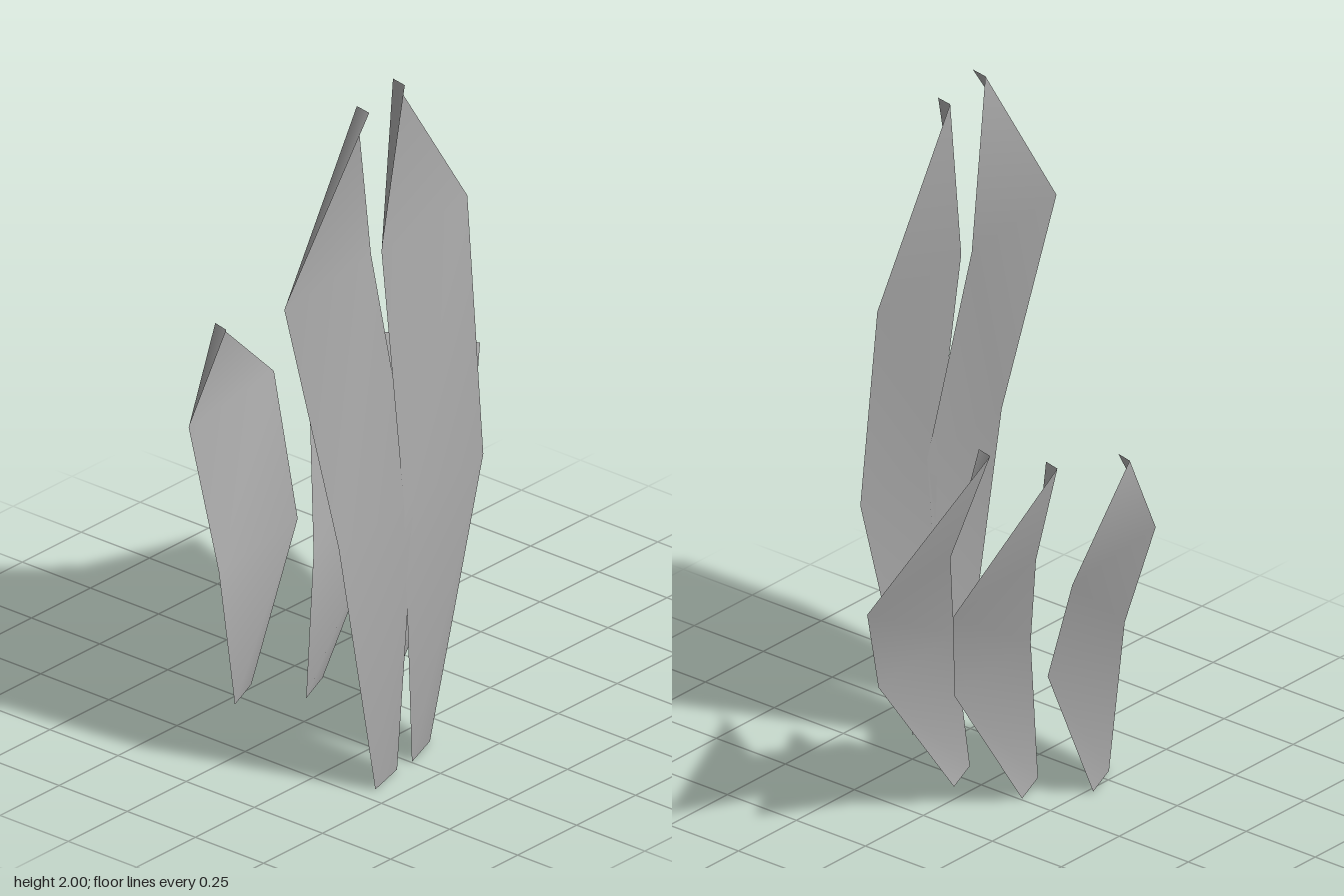
import * as THREE from 'three';

const bladeGrey = new THREE.MeshStandardMaterial({ color: 0xa6a6a6, side: THREE.DoubleSide });
bladeGrey.name = 'bladeGrey';

// A blade is a bent strip: each row is [y, xA, zA, xB, zB], its two edge points at one height
function makeBlade(name, rows) {
  const positions = [];
  const index = [];
  rows.forEach(([y, xa, za, xb, zb], i) => {
    positions.push(xa, y, za, xb, y, zb);
    if (i > 0) {
      const a = 2 * (i - 1);
      index.push(a, a + 1, a + 3, a, a + 3, a + 2);
    }
  });
  const geometry = new THREE.BufferGeometry();
  geometry.setAttribute('position', new THREE.Float32BufferAttribute(positions, 3));
  geometry.setIndex(index);
  geometry.computeVertexNormals();
  const mesh = new THREE.Mesh(geometry, bladeGrey);
  mesh.name = name;
  return mesh;
}

export function createModel() {
  const group = new THREE.Group();
  group.name = 'grassTuft';

  // Two tall blades at the front
  group.add(makeBlade('tallBladeRight', [
    [0, -0.445, 0.43, -0.31, 0.393],
    [0.8, -0.6, 0.43, -0.225, 0.385],
    [1.5, -0.64, 0.265, -0.215, 0.215],
    [2, -0.317, 0.297, -0.307, 0.243],
  ]));
  group.add(makeBlade('tallBladeLeft', [
    [0, -0.247, 0.393, -0.115, 0.345],
    [0.8, -0.28, 0.393, 0.117, 0.34],
    [1.5, -0.185, 0.228, 0.24, 0.175],
    [2, -0.12, 0.257, -0.11, 0.205],
  ]));

  // Three short blades behind, leaning back
  group.add(makeBlade('shortBladeFront', [
    [0, -0.07, 0.1, 0.058, 0.05],
    [0.435, 0, 0.1, 0.39, 0.045],
    [0.805, 0.21, -0.065, 0.635, -0.12],
    [1.07, 0.052, -0.035, 0.065, -0.087],
  ]));
  group.add(makeBlade('shortBladeMiddle', [
    [0, -0.135, -0.092, -0.007, -0.142],
    [0.435, -0.1, -0.095, 0.295, -0.15],
    [0.805, 0.07, -0.257, 0.493, -0.312],
    [1.07, -0.008, -0.228, 0.005, -0.28],
  ]));
  group.add(makeBlade('shortBladeBack', [
    [0, -0.295, -0.215, -0.167, -0.265],
    [0.435, -0.363, -0.215, 0.035, -0.27],
    [0.805, -0.3, -0.38, 0.125, -0.435],
    [1.07, -0.175, -0.35, -0.162, -0.402],
  ]));
  return group;
}
